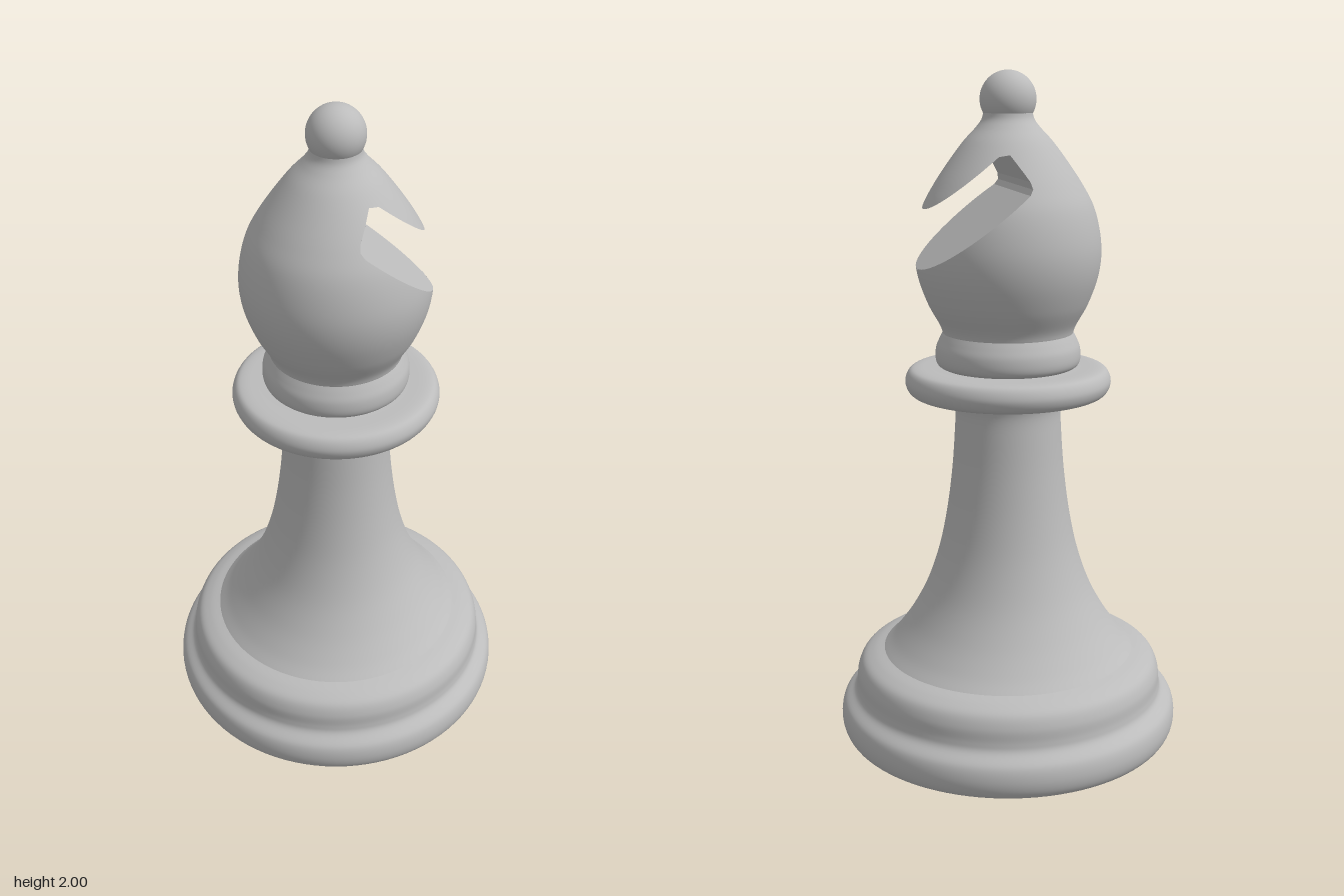
import * as THREE from 'three';

const SIDES = 96;

// Smooth profile through [radius, height] points
const profile = (pts, n) =>
  new THREE.SplineCurve(pts.map(([r, y]) => new THREE.Vector2(r, y))).getPoints(n);

// Slot outline in x/y, anticlockwise and convex; it runs right through along z
const SLOT = [[0.5, 1.415], [0.06, 1.765], [0.03, 1.77], [-0.015, 1.70],
  [-0.02, 1.68], [-0.01, 1.664], [0.5, 1.262]];

// Part of a polygon on one side of a slot edge (sign +1: slot side, -1: outer side)
function clip(poly, a, b, sign) {
  const dist = (v) => sign * ((b[0] - a[0]) * (v.p.y - a[1]) - (b[1] - a[1]) * (v.p.x - a[0]));
  const out = [];
  poly.forEach((v, i) => {
    const w = poly[(i + 1) % poly.length];
    const dv = dist(v), dw = dist(w);
    if (dv >= 0) out.push(v);
    if ((dv >= 0) !== (dw >= 0)) {
      const t = dv / (dv - dw);
      out.push({ p: v.p.clone().lerp(w.p, t), n: v.n.clone().lerp(w.n, t).normalize() });
    }
  });
  return out;
}

// Head skin with the slot removed, keeping the smooth normals
function cutSkin(geometry) {
  const g = geometry.toNonIndexed();
  const { position, normal } = g.attributes;
  const pos = [], nor = [];
  const emit = (poly) => {
    for (let i = 1; i + 1 < poly.length; i++) {
      for (const v of [poly[0], poly[i], poly[i + 1]]) {
        pos.push(...v.p.toArray());
        nor.push(...v.n.toArray());
      }
    }
  };
  for (let i = 0; i < position.count; i += 3) {
    let rest = [0, 1, 2].map((k) => ({
      p: new THREE.Vector3().fromBufferAttribute(position, i + k),
      n: new THREE.Vector3().fromBufferAttribute(normal, i + k),
    }));
    for (let e = 0; e + 1 < SLOT.length && rest.length; e++) {
      emit(clip(rest, SLOT[e], SLOT[e + 1], -1));
      rest = clip(rest, SLOT[e], SLOT[e + 1], 1);
    }
  }
  const out = new THREE.BufferGeometry();
  out.setAttribute('position', new THREE.Float32BufferAttribute(pos, 3));
  out.setAttribute('normal', new THREE.Float32BufferAttribute(nor, 3));
  return out;
}

// Walls of the slot: ribbons as wide as the head is at each point
function slotWalls(points) {
  const radiusAt = (y) => {
    const i = points.findIndex((p) => p.y > y);
    if (i < 1) return 0;
    const a = points[i - 1], b = points[i];
    return a.x + (b.x - a.x) * (y - a.y) / (b.y - a.y);
  };
  const pos = [];
  for (let e = 0; e + 1 < SLOT.length; e++) {
    const [a, b] = [SLOT[e], SLOT[e + 1]];
    const steps = Math.ceil(Math.hypot(b[0] - a[0], b[1] - a[1]) / 0.004);
    const at = (t) => {
      const x = a[0] + (b[0] - a[0]) * t, y = a[1] + (b[1] - a[1]) * t;
      return { x, y, w: Math.sqrt(Math.max(0, radiusAt(y) ** 2 - x * x)) };
    };
    for (let i = 0; i < steps; i++) {
      const p = at(i / steps), q = at((i + 1) / steps);
      if (p.w + q.w === 0) continue;
      pos.push(p.x, p.y, -p.w, p.x, p.y, p.w, q.x, q.y, q.w);
      pos.push(p.x, p.y, -p.w, q.x, q.y, q.w, q.x, q.y, -q.w);
    }
  }
  const g = new THREE.BufferGeometry();
  g.setAttribute('position', new THREE.Float32BufferAttribute(pos, 3));
  g.computeVertexNormals();
  return g;
}

export function createModel() {
  const group = new THREE.Group();
  group.name = 'chessBishop';
  const stone = new THREE.MeshStandardMaterial({ color: 0xbcbcbc, side: THREE.DoubleSide });
  stone.name = 'grey';

  const add = (name, geometry) => {
    const mesh = new THREE.Mesh(geometry, stone);
    mesh.name = name;
    group.add(mesh);
  };
  const turned = (name, pts, n) => add(name, new THREE.LatheGeometry(profile(pts, n), SIDES));

  // Hollow stepped foot, open underneath
  turned('base', [[0.45, 0.006], [0.495, 0.002], [0.515, 0.022], [0.521, 0.06], [0.511, 0.10],
    [0.48, 0.13], [0.472, 0.155], [0.468, 0.195], [0.452, 0.23], [0.42, 0.25], [0.385, 0.262]], 60);

  // Flared column
  turned('stem', [[0.385, 0.262], [0.35, 0.30], [0.30, 0.37], [0.25, 0.465], [0.211, 0.58],
    [0.186, 0.70], [0.169, 0.83], [0.16, 0.95], [0.158, 1.02], [0.168, 1.06]], 50);

  // Rounded disc under the head
  turned('collar', [[0.155, 1.06], [0.21, 1.064], [0.27, 1.064], [0.295, 1.075], [0.306, 1.105],
    [0.295, 1.135], [0.27, 1.146], [0.21, 1.148], [0.155, 1.15]], 48);

  // Ring between collar and head
  turned('neckRing', [[0.19, 1.145], [0.208, 1.155], [0.215, 1.175], [0.213, 1.205],
    [0.203, 1.23], [0.193, 1.25]], 24);

  // Egg-shaped head with the slanted slot
  const head = profile([[0.193, 1.25], [0.202, 1.275], [0.235, 1.335], [0.262, 1.41],
    [0.272, 1.48], [0.266, 1.55], [0.247, 1.62], [0.215, 1.68], [0.175, 1.74], [0.13, 1.80],
    [0.093, 1.84], [0.075, 1.865], [0.07, 1.89]], 80);
  add('head', cutSkin(new THREE.LatheGeometry(head, SIDES)));
  add('slotWalls', slotWalls(head));

  // Ball on top
  const ball = new THREE.SphereGeometry(0.081, 48, 32);
  ball.translate(0, 1.919, 0);
  add('finial', ball);

  return group;
}
